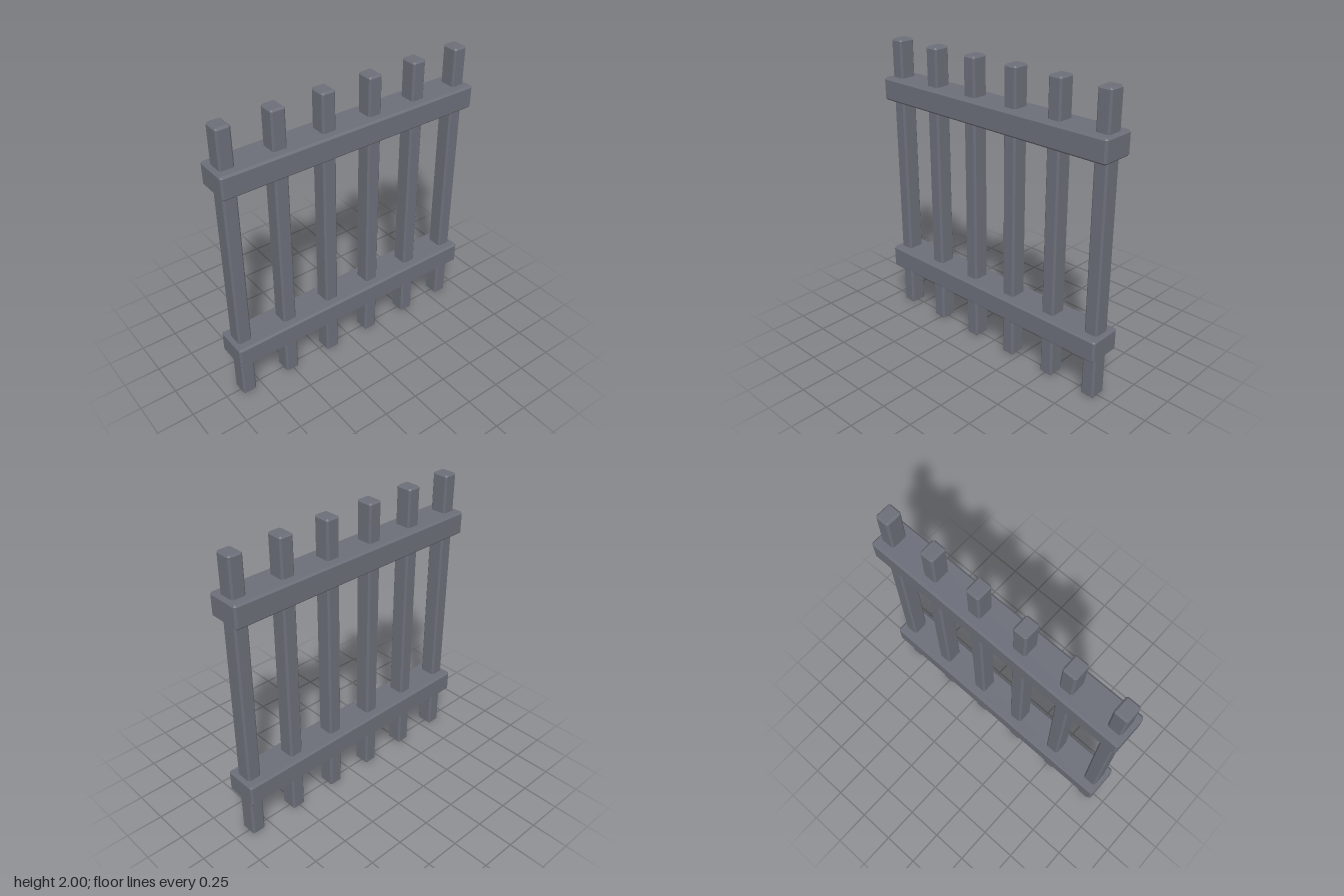
import * as THREE from 'three';
import { ConvexGeometry } from 'three/addons/geometries/ConvexGeometry.js';

// Box with every edge cut by a flat chamfer c
function chamferBox(w, h, d, c) {
  const points = [];
  for (const sx of [-1, 1]) for (const sy of [-1, 1]) for (const sz of [-1, 1]) {
    const x = w / 2, y = h / 2, z = d / 2;
    points.push(
      new THREE.Vector3(sx * x, sy * (y - c), sz * (z - c)),
      new THREE.Vector3(sx * (x - c), sy * y, sz * (z - c)),
      new THREE.Vector3(sx * (x - c), sy * (y - c), sz * z)
    );
  }
  return new ConvexGeometry(points);
}

export function createModel() {
  const model = new THREE.Group();
  model.name = 'barFence';
  const iron = new THREE.MeshStandardMaterial({ color: 0x6b6e78, flatShading: true });
  iron.name = 'greyIron';

  // Six upright bars
  const barGeometry = chamferBox(0.096, 2, 0.116, 0.012);
  for (let i = 0; i < 6; i++) {
    const bar = new THREE.Mesh(barGeometry, iron);
    bar.name = `uprightBar${i + 1}`;
    bar.position.set((i - 2.5) * 0.34, 1, 0);
    model.add(bar);
  }

  // Two horizontal rails clasping the bars
  const railGeometry = chamferBox(1.854, 0.156, 0.233, 0.013);
  for (const [name, y] of [['lowerRail', 0.384], ['upperRail', 1.664]]) {
    const rail = new THREE.Mesh(railGeometry, iron);
    rail.name = name;
    rail.position.y = y;
    model.add(rail);
  }

  return model;
}
